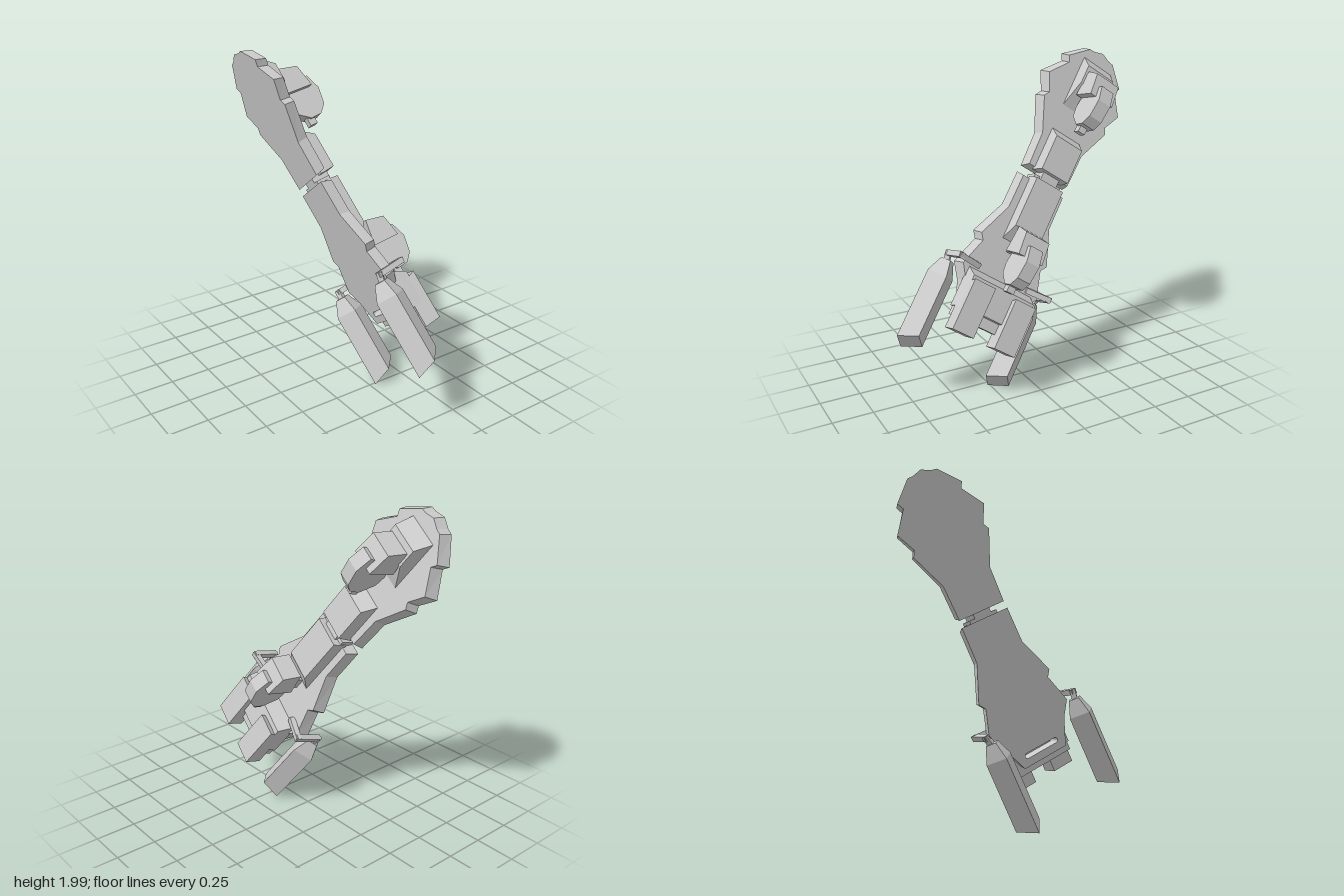
import * as THREE from 'three';

const material = new THREE.MeshStandardMaterial({ color: 0xcccccc, flatShading: true });

// Ship frame: x = across, y = towards the nose, -z = up from the flat belly (height h).
function add(parent, name, geometry) {
  const mesh = new THREE.Mesh(geometry, material);
  mesh.name = name;
  parent.add(mesh);
  return mesh;
}

function reshape(geometry, rule) {
  const p = geometry.attributes.position;
  const v = new THREE.Vector3();
  for (let i = 0; i < p.count; i++) {
    rule(v.fromBufferAttribute(p, i));
    p.setXYZ(i, v.x, v.y, v.z);
  }
  geometry.computeVertexNormals();
  return geometry;
}

// Hull plate mirrored from its right-hand outline, narrowing towards the deck
function plate(half, hole) {
  const t = 0.075;
  const left = half.filter(([x]) => x > 0).map(([x, y]) => [-x, y]).reverse();
  const shape = new THREE.Shape([...half, ...left].map(([x, y]) => new THREE.Vector2(x, y)));
  if (hole) shape.holes.push(hole);
  const ys = half.map((q) => q[1]);
  const mid = (Math.max(...ys) + Math.min(...ys)) / 2;
  const g = new THREE.ExtrudeGeometry(shape, { depth: t, bevelEnabled: false, curveSegments: 6 });
  g.translate(0, 0, -t);
  return reshape(g, (v) => {
    if (v.z < -t / 2) {
      v.x *= 0.91;
      v.y = mid + (v.y - mid) * 0.96;
    }
  });
}

// Block with different base and top rectangles: [rear, front, half width, height]
function block(base, top, x = 0) {
  return reshape(new THREE.BoxGeometry(1, 1, 1), (v) => {
    const [y0, y1, w, h] = v.z > 0 ? base : top;
    v.set(x + Math.sign(v.x) * w, v.y > 0 ? y1 : y0, -h);
  });
}

// Side profile of [y, height] points, extruded across the ship
function profile(points, width) {
  const shape = new THREE.Shape(points.map(([y, h]) => new THREE.Vector2(y, h)));
  const g = new THREE.ExtrudeGeometry(shape, { depth: width, bevelEnabled: false });
  g.translate(0, 0, -width / 2);
  return g.applyMatrix4(new THREE.Matrix4().makeBasis(
    new THREE.Vector3(0, 1, 0), new THREE.Vector3(0, 0, -1), new THREE.Vector3(-1, 0, 0)));
}

function bar(parent, name, from, to, size) {
  const a = new THREE.Vector3(...from), b = new THREE.Vector3(...to);
  const mesh = add(parent, name, new THREE.BoxGeometry(size, a.distanceTo(b) + size * 0.8, size));
  mesh.position.copy(a).add(b).multiplyScalar(0.5);
  mesh.quaternion.setFromUnitVectors(new THREE.Vector3(0, 1, 0), b.sub(a).normalize());
}

// Gun turret: housing, rounded fin, barrel and mount
function turret(y) {
  const g = new THREE.Group();
  g.name = 'turret';
  add(g, 'turretHousing', profile([[0.7, 0.17], [0.67, 0.29], [0.53, 0.315], [0.54, 0.14]], 0.17));
  add(g, 'turretFin', profile([[0.6, 0.335], [0.503, 0.368], [0.397, 0.345], [0.35, 0.294],
    [0.348, 0.222], [0.412, 0.141], [0.48, 0.126], [0.58, 0.16]], 0.09));
  add(g, 'turretBarrel', block([0.31, 0.4, 0.025, 0.2], [0.31, 0.4, 0.025, 0.25]));
  add(g, 'turretMount', block([0.54, 0.62, 0.05, 0.06], [0.56, 0.62, 0.05, 0.2]));
  g.position.y = y;
  return g;
}

// Diamond-section pod with a tapered nose and a raked tail
function pod() {
  const g = new THREE.CylinderGeometry(1, 1, 1, 4, 2).toNonIndexed();
  return reshape(g, (v) => {
    const front = v.y > 0.25, tail = v.y < -0.25;
    const s = front ? 0.5 : 1;
    const y = front ? -0.71 : tail ? -1.237 - 0.048 * v.z : -0.81;
    v.set(v.x * 0.088 * s, y, 0.052 + v.z * 0.095 * s);
  });
}

export function createModel() {
  const model = new THREE.Group();
  model.name = 'spaceship';
  const ship = new THREE.Group();
  ship.name = 'hull';
  ship.position.set(-0.21, 1.24, 0.135);
  ship.rotation.set(0.255, 0, 0.611);
  model.add(ship);

  // Front plate
  add(ship, 'frontHull', plate([[0.165, 0.011], [0.172, 0.231], [0.274, 0.449], [0.25, 0.487],
    [0.312, 0.6], [0.207, 0.731], [0.23, 0.77], [0.104, 0.887], [0.066, 0.89], [0, 0.912]]));
  add(ship, 'noseBlock', block([0.44, 0.815, 0.11, 0.06], [0.62, 0.735, 0.1, 0.165]));
  add(ship, 'frontCabin', block([0.012, 0.31, 0.11, 0.06], [0.02, 0.245, 0.1, 0.16]));

  // Neck between the plates
  add(ship, 'neck', block([-0.06, 0.03, 0.06, 0.01], [-0.06, 0.03, 0.06, 0.12]));
  add(ship, 'neckCollar', block([-0.05, -0.015, 0.1, 0.01], [-0.05, -0.015, 0.1, 0.1]));

  // Rear plate with a rounded belly slot
  const slot = new THREE.Path();
  slot.absarc(0.11, -0.89, 0.016, -Math.PI / 2, Math.PI / 2);
  slot.absarc(-0.11, -0.89, 0.016, Math.PI / 2, Math.PI * 1.5);
  add(ship, 'rearHull', plate([[0.161, -0.952], [0.235, -0.79], [0.302, -0.702], [0.24, -0.524],
    [0.272, -0.484], [0.172, -0.258], [0.17, -0.034]], slot));
  add(ship, 'rearCabin', block([-0.47, -0.034, 0.11, 0.06], [-0.36, -0.04, 0.1, 0.15]));

  for (const y of [0, -1.06]) ship.add(turret(y));

  // Engine section
  add(ship, 'engineCrossbar', block([-0.95, -0.69, 0.23, 0.06], [-0.93, -0.74, 0.22, 0.17]));
  add(ship, 'engineBase', block([-1.0, -0.85, 0.22, 0.065], [-1.0, -0.85, 0.21, 0.14]));
  for (const side of [-1, 1]) {
    add(ship, 'thruster', block([-1.08, -0.8, 0.073, 0.1], [-1.075, -0.76, 0.073, 0.21], side * 0.148));

    // Outrigger pod on a bent arm
    const outrigger = new THREE.Group();
    outrigger.name = side > 0 ? 'leftOutrigger' : 'rightOutrigger';
    ship.add(outrigger);
    add(outrigger, 'pod', pod()).position.x = side * 0.321;
    const root = [side * 0.19, -0.67, -0.085];
    const elbow = [side * 0.325, -0.665, -0.115];
    const wrist = [side * 0.335, -0.67, 0.045];
    bar(outrigger, 'armRoot', root, elbow, 0.034);
    bar(outrigger, 'armDrop', elbow, wrist, 0.034);
    bar(outrigger, 'armWrist', wrist, [side * 0.321, -0.73, 0.052], 0.034);
  }
  return model;
}
